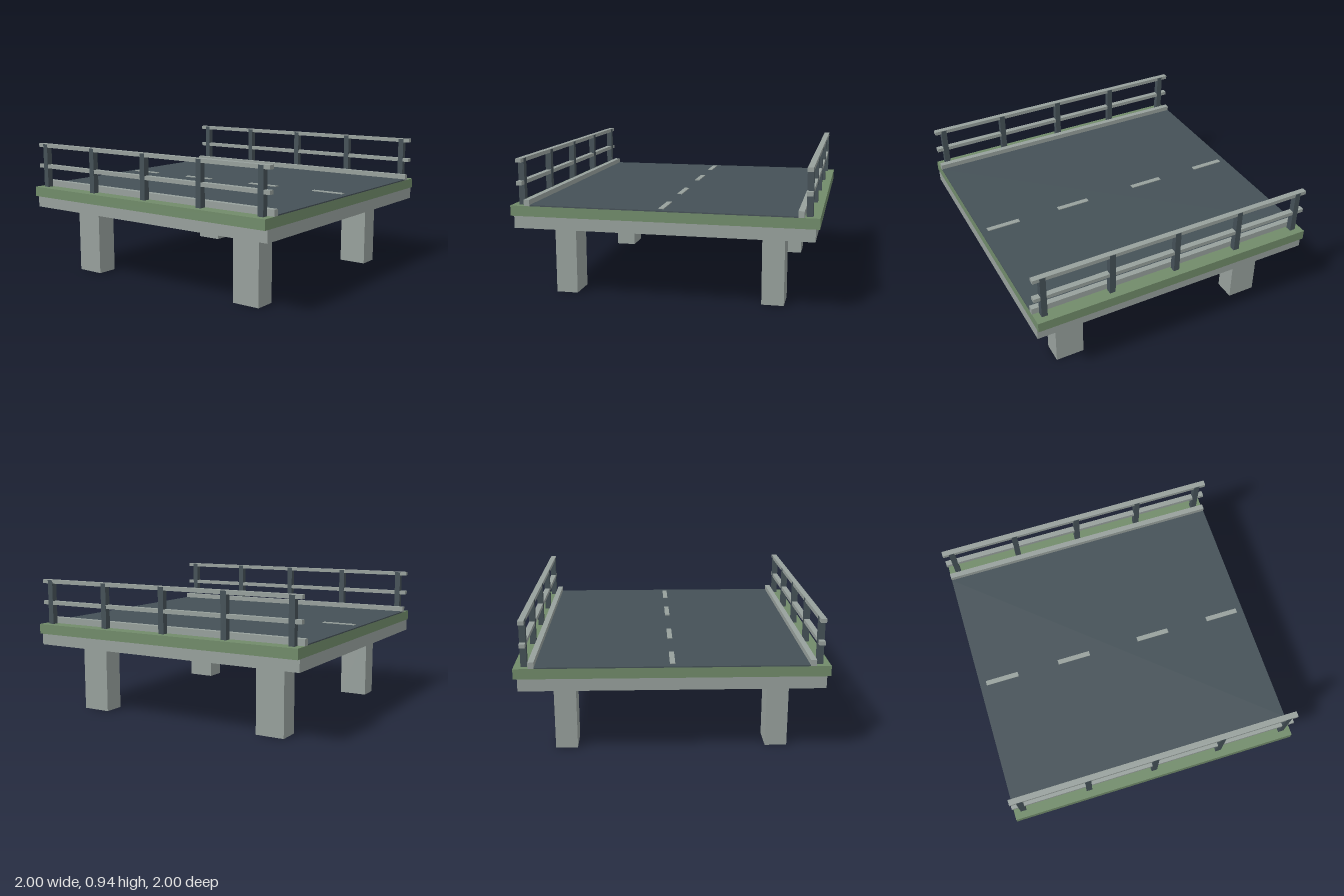
import * as THREE from 'three';

export function createModel() {
  const model = new THREE.Group();
  model.name = 'bridgeSection';

  const mat = (name, color) => {
    const m = new THREE.MeshStandardMaterial({ color });
    m.name = name;
    return m;
  };
  const concrete = mat('concrete', 0x97a09c);
  const asphalt = mat('asphalt', 0x455157);
  const green = mat('greenDeck', 0x718b6a);

  // Box given by its min/max extents on each axis
  const box = (parent, name, material, [x0, x1], [y0, y1], [z0, z1]) => {
    const mesh = new THREE.Mesh(new THREE.BoxGeometry(x1 - x0, y1 - y0, z1 - z0), material);
    mesh.position.set((x0 + x1) / 2, (y0 + y1) / 2, (z0 + z1) / 2);
    mesh.name = name;
    parent.add(mesh);
  };
  const around = (c, size) => [c - size / 2, c + size / 2];
  const full = [-1, 1];

  // Deck layers
  box(model, 'supportSlab', concrete, [-0.975, 0.975], [0.48, 0.56], full);
  box(model, 'deck', green, full, [0.56, 0.628], full);
  box(model, 'road', asphalt, [-0.867, 0.867], [0.628, 0.636], full);

  // Dashed centre line
  for (const z of [-0.835, -0.3, 0.3, 0.835])
    box(model, 'laneMark', concrete, around(0, 0.034), [0.636, 0.641], around(z, 0.236));

  for (const side of [-1, 1]) {
    // Piers
    for (const z of [-0.7, 0.7])
      box(model, 'pier', concrete, around(side * 0.7, 0.146), [0, 0.48], around(z, 0.2));

    // Kerb
    box(model, 'kerb', concrete, around(side * 0.886, 0.038), [0.628, 0.67], full);

    // Railing: posts stand just proud of the rails
    const railing = new THREE.Group();
    railing.name = side > 0 ? 'leftRailing' : 'rightRailing';
    model.add(railing);
    const x = side * 0.934;
    for (let i = -2; i <= 2; i++)
      box(railing, 'post', asphalt, around(x, 0.041), [0.628, 0.934], around(i * 0.4675, 0.04));
    box(railing, 'topRail', concrete, around(x, 0.038), [0.911, 0.937], full);
    box(railing, 'middleRail', concrete, around(x, 0.038), [0.763, 0.789], full);
  }
  return model;
}
